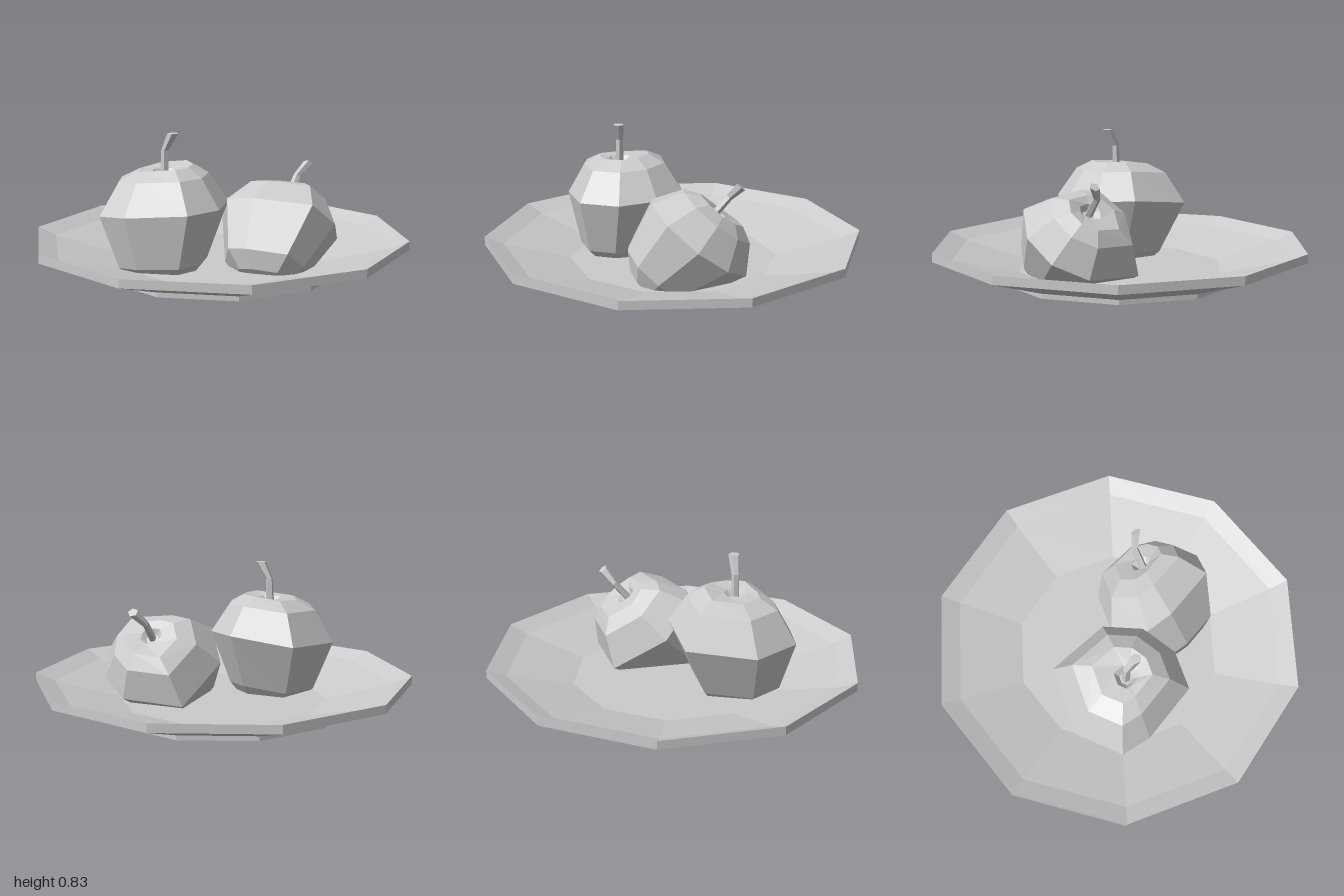
import * as THREE from 'three';

const material = new THREE.MeshStandardMaterial({ color: 0xcccccc, flatShading: true });

// Skins a stack of rings (bottom to top); the first and last ring are single points
function loft(rings) {
  const pos = [];
  const n = rings[0].length;
  for (let r = 0; r < rings.length - 1; r++) {
    for (let i = 0; i < n; i++) {
      const j = (i + 1) % n;
      const a = rings[r][i], b = rings[r][j], c = rings[r + 1][j], d = rings[r + 1][i];
      if (r < rings.length - 2) pos.push(...a, ...d, ...c);
      else pos.push(...a, ...d, ...b);
      if (r > 0 && r < rings.length - 2) pos.push(...a, ...c, ...b);
    }
  }
  const geometry = new THREE.BufferGeometry();
  geometry.setAttribute('position', new THREE.Float32BufferAttribute(pos, 3));
  geometry.computeVertexNormals();
  return geometry;
}

function addMesh(parent, name, geometry) {
  const mesh = new THREE.Mesh(geometry, material);
  mesh.name = name;
  parent.add(mesh);
}

// Irregular outline of the fruit at its widest: [x, height offset, z]
const outline = [
  [-0.21, 0.0, -0.30], [0.13, 0.04, -0.31], [0.29, 0.03, -0.17], [0.34, 0.02, 0.03],
  [0.27, 0.02, 0.23], [-0.05, -0.01, 0.30], [-0.21, -0.02, 0.28], [-0.33, -0.03, 0.04],
];

// Base to stem dimple: height, outline scale, height-offset weight, shift in x and z
const levels = [
  [-0.31, 0, 0, 0.02, 0.01], [-0.27, 0.45, 0.4, 0.02, 0.02], [-0.19, 0.69, 0.6, 0.01, 0.03],
  [0.09, 1, 1, 0, 0], [0.25, 0.7, 0.6, 0, 0], [0.298, 0.43, 0.5, 0.01, 0],
  [0.288, 0.18, 0, 0.02, 0.02], [0.26, 0.1, 0, 0.02, 0.02], [0.26, 0, 0, 0.02, 0.02],
];

// Stem sections: centre x, y, z and radius, closed at both ends
const stemSections = [
  [0.02, 0.255, 0.02, 0], [0.02, 0.255, 0.02, 0.022], [0.025, 0.39, 0.02, 0.02],
  [0.075, 0.48, 0.025, 0.03], [0.075, 0.48, 0.025, 0],
];

function createApple(name) {
  const apple = new THREE.Group();
  apple.name = name;
  const body = levels.map(([y, s, w, sx, sz]) =>
    outline.map(([x, dy, z]) => [x * s + sx, y + dy * w, z * s + sz]));
  addMesh(apple, 'appleBody', loft(body));

  const stem = stemSections.map(([x, y, z, r]) =>
    Array.from({ length: 5 }, (_, i) => {
      const a = (i / 5) * Math.PI * 2;
      return [x + r * Math.cos(a), y, z + r * Math.sin(a)];
    }));
  addMesh(apple, 'appleStem', loft(stem));
  return apple;
}

export function createModel() {
  const model = new THREE.Group();
  model.name = 'plateWithApples';

  // Ten-sided plate with a foot, a sloping underside and a raised rim
  const profile = [
    [0, 0.09], [0.65, 0.09], [0.65, 0.115], [1, 0.225],
    [1, 0.27], [0.9, 0.228], [0.55, 0.143], [0, 0.143],
  ].map(([x, y]) => new THREE.Vector2(x, y));
  addMesh(model, 'plate', new THREE.LatheGeometry(profile, 10));

  // Upright apple and a smaller one tipped backwards
  const upright = createApple('uprightApple');
  upright.position.set(-0.19, 0.36, 0.26);
  const tipped = createApple('tippedApple');
  tipped.position.set(0.305, 0.275, -0.04);
  tipped.rotation.x = -0.7;
  tipped.scale.setScalar(0.94);
  model.add(upright, tipped);

  return model;
}
